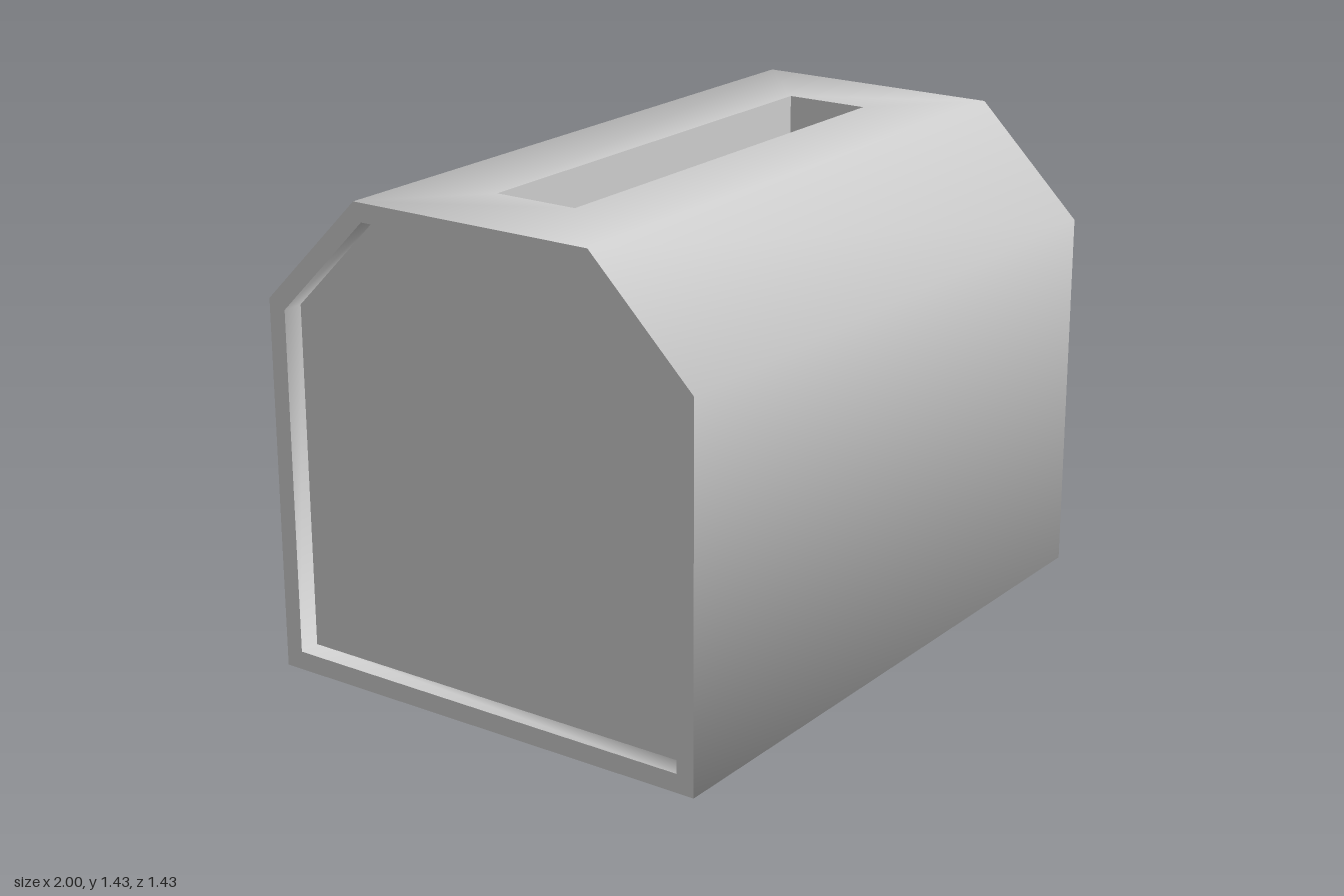
import * as THREE from 'three';

const grey = new THREE.MeshStandardMaterial({ color: 0xcccccc });
grey.name = 'grey casing';

// Cross-sections, counter-clockwise as seen from the +x end: [-z, y]
const OUTER = [[-0.715, 0], [0.715, 0], [0.715, 1.105], [0.39, 1.43], [-0.39, 1.43], [-0.715, 1.105]];
const INNER = [[-0.66, 0.055], [0.66, 0.055], [0.66, 1.08], [0.365, 1.376], [-0.365, 1.376], [-0.66, 1.08]];
const TOP = 1.43, RECESS = 0.936;
const SLOT_X = 0.715, SLOT_Z = 0.131, SLOT_FLOOR = 0.5;

function mesh(name, geometry) {
  const m = new THREE.Mesh(geometry, grey);
  m.name = name;
  return m;
}

// Smooth band between two copies of a profile; inward = faces the inside
function band(profile, x0, x1, inward = false, skip = -1, finish = null) {
  const n = profile.length, pos = [], idx = [];
  for (const x of [x0, x1]) for (const [u, v] of profile) pos.push(x, v, -u);
  for (let i = 0; i < n; i++) {
    if (i === skip) continue;
    const j = (i + 1) % n;
    if (inward) idx.push(i, n + j, j, i, n + i, n + j);
    else idx.push(i, j, n + j, i, n + j, n + i);
  }
  if (finish) finish(pos, idx, n);
  const g = new THREE.BufferGeometry();
  g.setAttribute('position', new THREE.Float32BufferAttribute(pos, 3));
  g.setIndex(idx);
  g.computeVertexNormals();
  return g;
}

// Fills the top of the casing, leaving the slot open
function topWithSlot(pos, idx, n) {
  const outer = [3, 4, n + 4, n + 3], first = pos.length / 3;
  for (const [sx, sz] of [[-1, -1], [-1, 1], [1, 1], [1, -1]]) pos.push(sx * SLOT_X, TOP, sz * SLOT_Z);
  for (let k = 0; k < 4; k++) {
    const l = (k + 1) % 4;
    idx.push(outer[k], outer[l], first + l, outer[k], first + l, first + k);
  }
}

function toShape(profile) {
  return new THREE.Shape(profile.map(([u, v]) => new THREE.Vector2(u, v)));
}

export function createModel() {
  const model = new THREE.Group();
  model.name = 'slottedCasing';

  // Casing with smooth shading around its section
  model.add(mesh('casing', band(OUTER, -1, 1, false, 3, topWithSlot)));

  // Both ends: rim, recess wall and sunken panel
  for (const side of [1, -1]) {
    const end = new THREE.Group();
    end.name = side > 0 ? 'leftEnd' : 'rightEnd';
    const rimShape = toShape(OUTER);
    rimShape.holes.push(toShape(INNER));
    const rim = new THREE.ShapeGeometry(rimShape).rotateY(side * Math.PI / 2).translate(side, 0, 0);
    const panel = new THREE.ShapeGeometry(toShape(INNER)).rotateY(side * Math.PI / 2).translate(side * RECESS, 0, 0);
    const wall = side > 0 ? band(INNER, RECESS, 1, true) : band(INNER, -1, -RECESS, true);
    end.add(mesh('rim', rim), mesh('recessWall', wall), mesh('endPanel', panel));
    model.add(end);
  }

  // Slot well: four walls facing inward and a floor
  const well = new THREE.Group();
  well.name = 'slotWell';
  const depth = TOP - SLOT_FLOOR, midY = (TOP + SLOT_FLOOR) / 2;
  for (const s of [1, -1]) {
    well.add(mesh('slotSide', new THREE.PlaneGeometry(SLOT_X * 2, depth)
      .rotateY(s > 0 ? Math.PI : 0).translate(0, midY, s * SLOT_Z)));
    well.add(mesh('slotEnd', new THREE.PlaneGeometry(SLOT_Z * 2, depth)
      .rotateY(-s * Math.PI / 2).translate(s * SLOT_X, midY, 0)));
  }
  well.add(mesh('slotFloor', new THREE.PlaneGeometry(SLOT_X * 2, SLOT_Z * 2)
    .rotateX(-Math.PI / 2).translate(0, SLOT_FLOOR, 0)));

  // Raised guides on the floor, mirrored across the middle channel
  for (const s of [1, -1]) {
    for (const [x0, x1] of [[-SLOT_X, -0.58], [-0.21, SLOT_X]]) {
      const guide = mesh('slotGuide', new THREE.BoxGeometry(x1 - x0, 0.1, SLOT_Z - 0.04));
      guide.position.set((x0 + x1) / 2, SLOT_FLOOR + 0.05, s * (SLOT_Z + 0.04) / 2);
      well.add(guide);
    }
  }
  model.add(well);
  return model;
}
